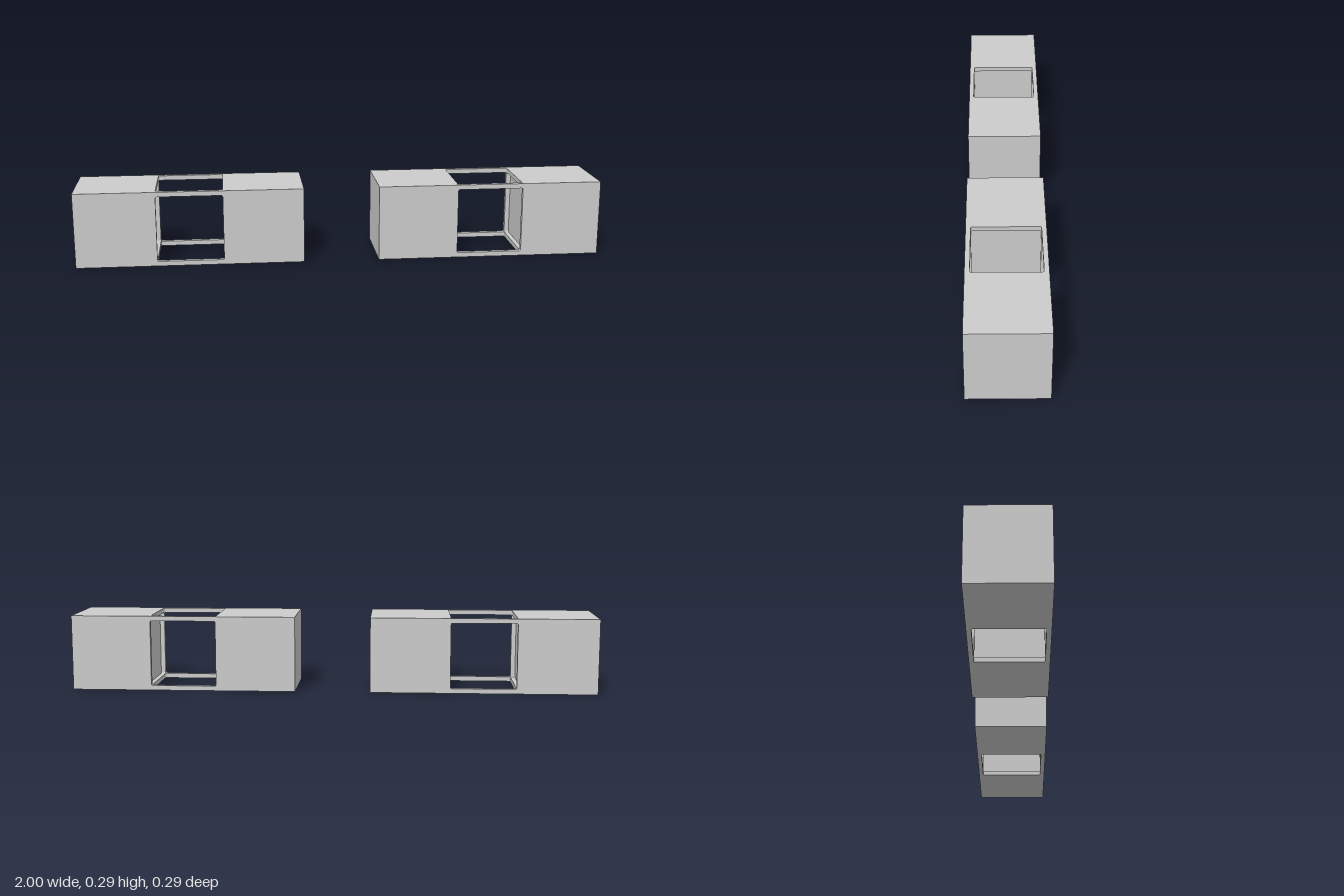
import * as THREE from 'three';

const S = 2 / 7;   // cube edge
const T = S / 16;  // frame bar thickness
const R = 0.006;   // rounding in the corners of each opening

// Square plate with a slightly rounded window, its outer face on z = S / 2
function windowPlate() {
  const h = S / 2, i = h - T;
  const shape = new THREE.Shape([[-h, -h], [h, -h], [h, h], [-h, h]].map(([x, y]) => new THREE.Vector2(x, y)));
  const hole = new THREE.Path();
  hole.absarc(i - R, i - R, R, 0, Math.PI / 2);
  hole.absarc(-i + R, i - R, R, Math.PI / 2, Math.PI);
  hole.absarc(-i + R, -i + R, R, Math.PI, Math.PI * 1.5);
  hole.absarc(i - R, -i + R, R, Math.PI * 1.5, Math.PI * 2);
  shape.holes.push(hole);
  return new THREE.ExtrudeGeometry(shape, { depth: T, bevelEnabled: false, curveSegments: 3 }).translate(0, 0, i);
}

export function createModel() {
  const model = new THREE.Group();
  const material = new THREE.MeshStandardMaterial({ color: 0xcccccc, flatShading: true });
  const block = new THREE.BoxGeometry(S, S, S);
  const plate = windowPlate();
  const q = Math.PI / 2;
  const turns = {
    front: [0, 0], back: [0, 2 * q], left: [0, q], right: [0, -q], top: [-q, 0], bottom: [q, 0],
  };

  for (const side of [-1, 1]) {
    const row = new THREE.Group();
    row.name = side > 0 ? 'leftRow' : 'rightRow';
    row.position.set(side * 2 * S, S / 2, 0);

    // Solid cubes at both ends
    for (const end of [-1, 1]) {
      const cube = new THREE.Mesh(block, material);
      cube.name = end * side > 0 ? 'outerBlock' : 'innerBlock';
      cube.position.x = end * S;
      row.add(cube);
    }

    // Open cube frame between them
    const frame = new THREE.Group();
    frame.name = 'openFrame';
    for (const [name, [rx, ry]] of Object.entries(turns)) {
      const face = new THREE.Mesh(plate, material);
      face.name = name + 'FrameFace';
      face.rotation.set(rx, ry, 0);
      frame.add(face);
    }
    row.add(frame);
    model.add(row);
  }
  return model;
}
